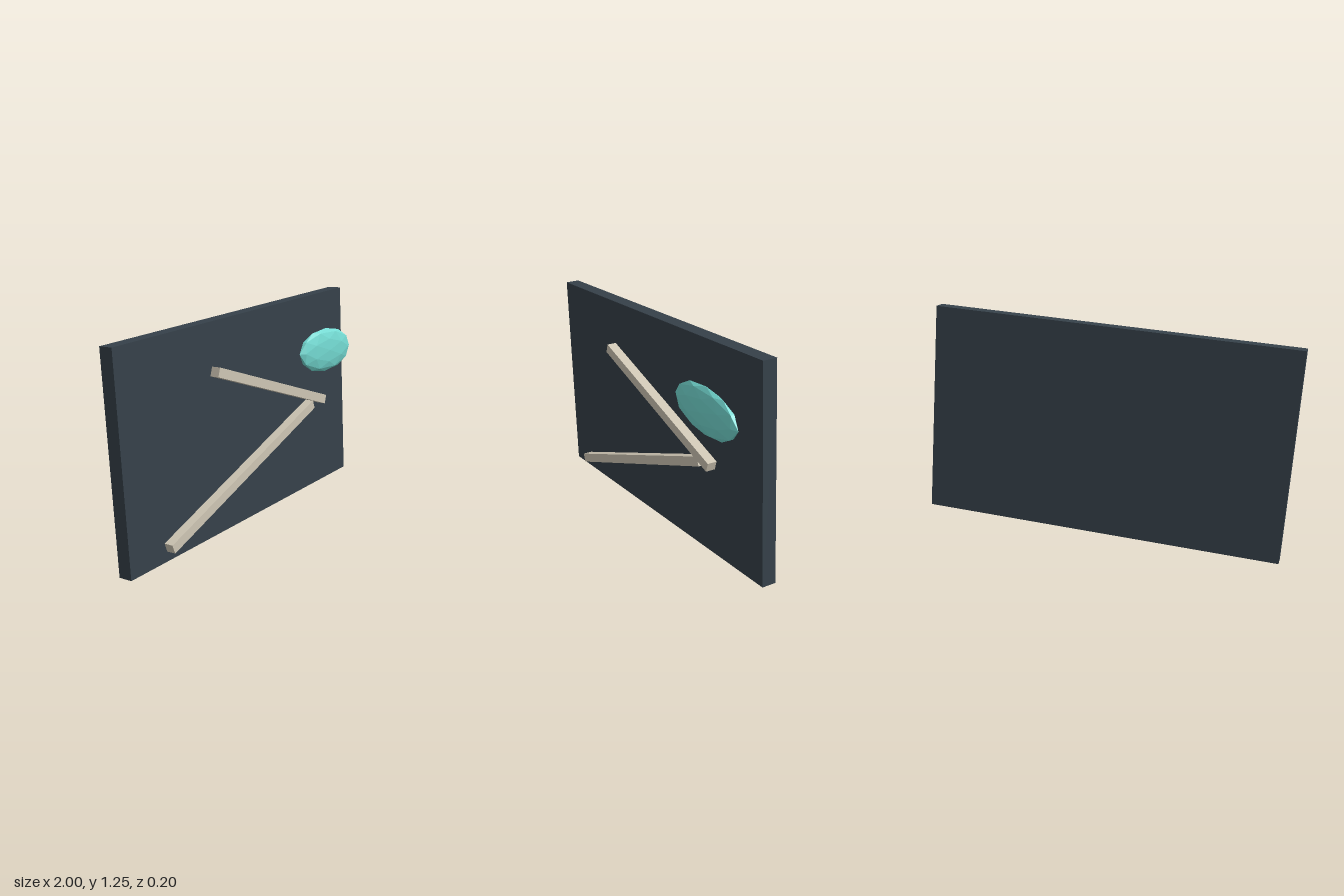
import * as THREE from 'three';

function part(name, geometry, color, position, angle = 0) {
  const material = new THREE.MeshStandardMaterial({ color, flatShading: true });
  const mesh = new THREE.Mesh(geometry, material);
  mesh.name = name;
  mesh.position.set(...position);
  mesh.rotation.z = angle;
  return mesh;
}

export function createModel() {
  const group = new THREE.Group();
  group.name = 'wallPanel';

  // Tilted backing panel
  group.add(part('panel', new THREE.BoxGeometry(1.918, 1.108, 0.075), 0x36414a, [0, 0.626, -0.0625], 0.0768));

  // Two slats that meet in a point
  const slat = (length) => new THREE.BoxGeometry(length, 0.049, 0.05);
  group.add(part('upperSlat', slat(1.024), 0xcfc7b5, [0.144, 0.777, 0.035], -0.28));
  group.add(part('lowerSlat', slat(1.329), 0xcfc7b5, [-0.078, 0.363, 0.021], 0.398));

  // Flattened faceted gem
  const gem = new THREE.IcosahedronGeometry(1, 1).scale(0.262, 0.122, 0.034);
  group.add(part('gem', gem, 0x74dbd3, [0.618, 0.924, 0.064]));

  return group;
}
